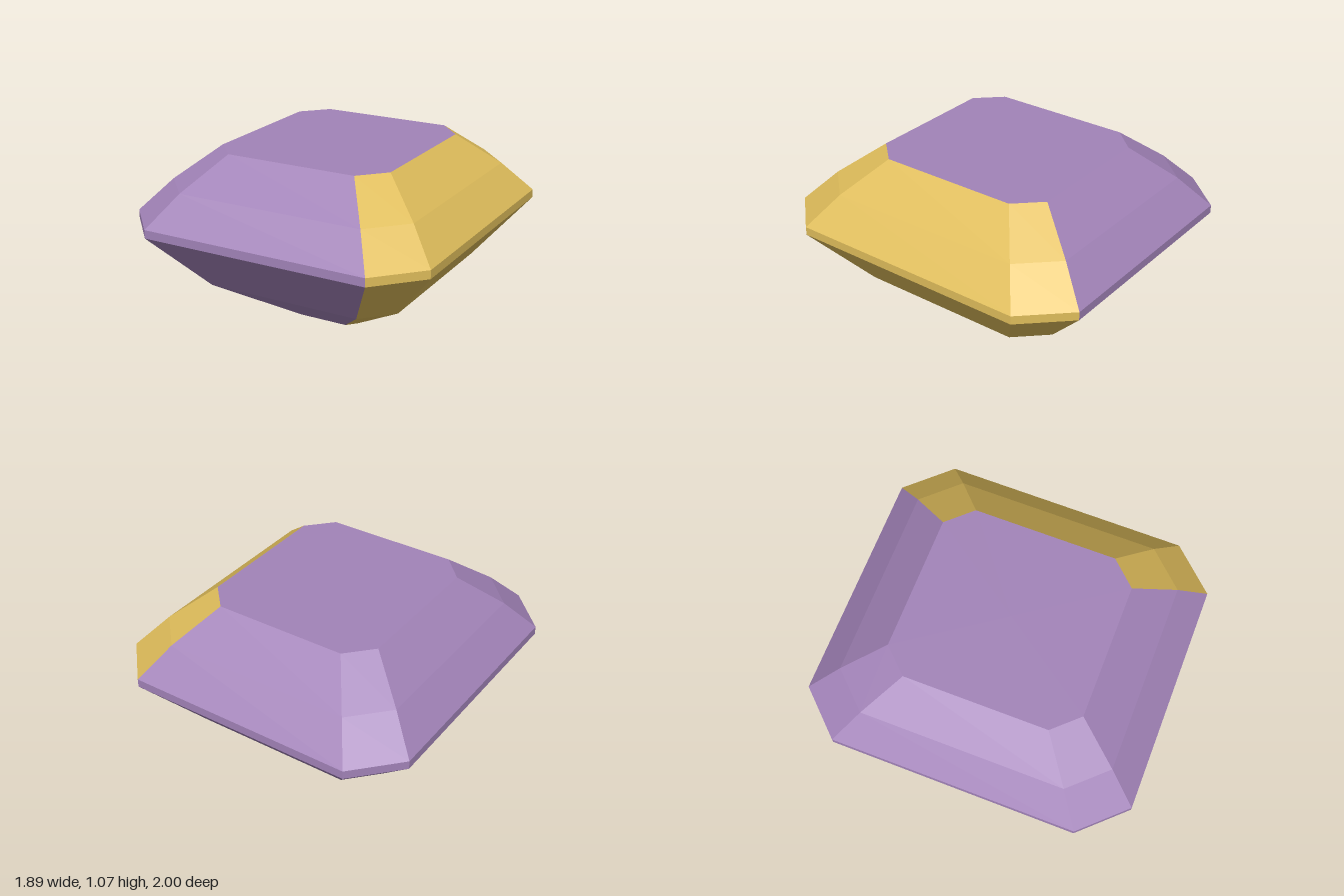
import * as THREE from 'three';

const purple = new THREE.MeshStandardMaterial({ color: 0xa283b8 });
purple.name = 'purple';
const gold = new THREE.MeshStandardMaterial({ color: 0xdfbd5b });
gold.name = 'gold';

// Widest outline: a rectangle with cut corners, clockwise seen from above.
// Edges 0 to 2 are the two cut corners and long side on +x.
const OUTLINE = [
  [0.69, -0.985], [0.93, -0.73], [0.93, 0.73], [0.69, 0.985],
  [-0.69, 0.985], [-0.93, 0.73], [-0.93, -0.73], [-0.69, -0.985],
];
const TWIST = 0.02; // the stone sits turned slightly about y

const corner = (i, [y, scale]) => {
  const [x, z] = OUTLINE[i % 8];
  return [(x - z * TWIST) * scale, y, (z + x * TWIST) * scale];
};

// Flat-faceted mesh from a list of triangle corners
function facets(name, points, material) {
  const geometry = new THREE.BufferGeometry();
  geometry.setAttribute('position', new THREE.Float32BufferAttribute(points.flat(), 3));
  geometry.computeVertexNormals();
  const mesh = new THREE.Mesh(geometry, material);
  mesh.name = name;
  return mesh;
}

// Band of facets between consecutive [height, scale] levels
function band(name, levels, edges, material) {
  const points = [];
  for (let k = 0; k < levels.length - 1; k++) {
    for (const i of edges) {
      const a = corner(i, levels[k]), b = corner(i + 1, levels[k]);
      const A = corner(i, levels[k + 1]), B = corner(i + 1, levels[k + 1]);
      points.push(a, A, B, a, B, b);
    }
  }
  return facets(name, points, material);
}

// Flat octagonal face closing one end
function cap(name, level, up) {
  const points = [];
  for (let i = 0; i < 8; i++) {
    const a = corner(i, level), b = corner(i + 1, level), centre = [0, level[0], 0];
    points.push(centre, ...(up ? [b, a] : [a, b]));
  }
  return facets(name, points, purple);
}

export function createModel() {
  const gem = new THREE.Group();
  gem.name = 'gem';

  const parts = {
    Pavilion: [[0, 0.22], [0.3, 0.685], [0.65, 1]],
    Girdle: [[0.65, 1], [0.7, 1]],
    Crown: [[0.7, 1], [0.88, 0.825], [1.07, 0.58]],
  };
  for (const [part, levels] of Object.entries(parts)) {
    gem.add(band('gold' + part, levels, [0, 1, 2], gold));
    gem.add(band('purple' + part, levels, [3, 4, 5, 6, 7], purple));
  }

  gem.add(cap('table', [1.07, 0.58], true));
  gem.add(cap('culet', [0, 0.22], false));
  return gem;
}
